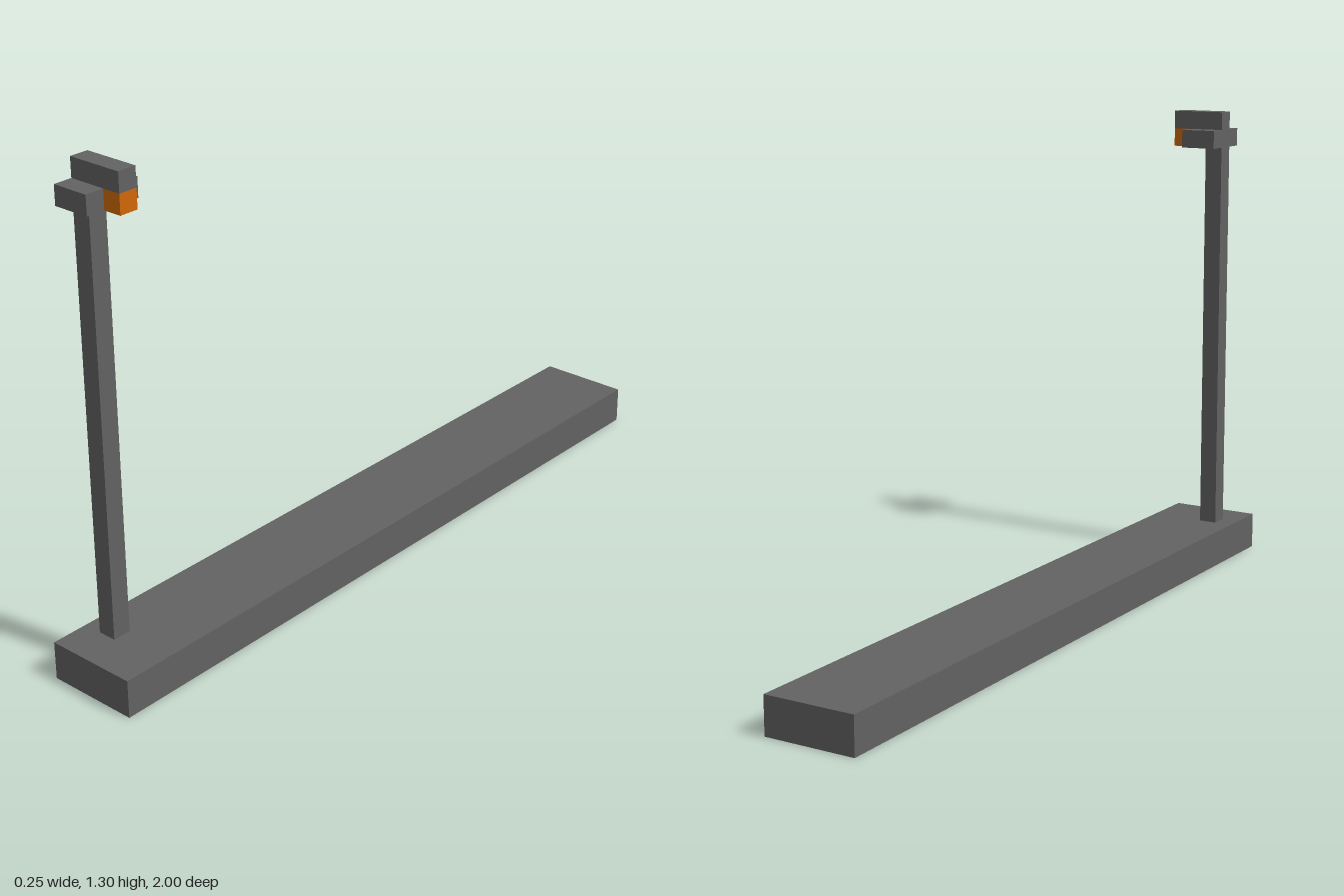
import * as THREE from 'three';

export function createModel() {
  const model = new THREE.Group();
  const grey = new THREE.MeshStandardMaterial({ color: 0x626262 });
  grey.name = 'dark grey';
  const orange = new THREE.MeshStandardMaterial({ color: 0xd06808 });
  orange.name = 'orange';

  // Box given by its lowest and highest corners
  function box(name, material, [x0, y0, z0], [x1, y1, z1]) {
    const geometry = new THREE.BoxGeometry(x1 - x0, y1 - y0, z1 - z0);
    const mesh = new THREE.Mesh(geometry, material);
    mesh.position.set((x0 + x1) / 2, (y0 + y1) / 2, (z0 + z1) / 2);
    mesh.name = name;
    model.add(mesh);
  }

  // Long slab with a post near its front end
  box('base', grey, [-0.125, 0, -1], [0.125, 0.1, 1]);
  box('post', grey, [-0.075, 0.1, 0.85], [-0.025, 1.25, 0.9]);

  // Lamp head: cap, glowing block beneath it and a cheek on each side
  box('lampCap', grey, [-0.075, 1.25, 0.85], [0.075, 1.3, 0.9]);
  box('lamp', orange, [-0.025, 1.2, 0.85], [0.075, 1.25, 0.9]);
  box('backCheek', grey, [-0.075, 1.2, 0.8], [0.025, 1.25, 0.85]);
  box('frontCheek', grey, [-0.075, 1.2, 0.9], [0.025, 1.25, 0.95]);

  return model;
}
